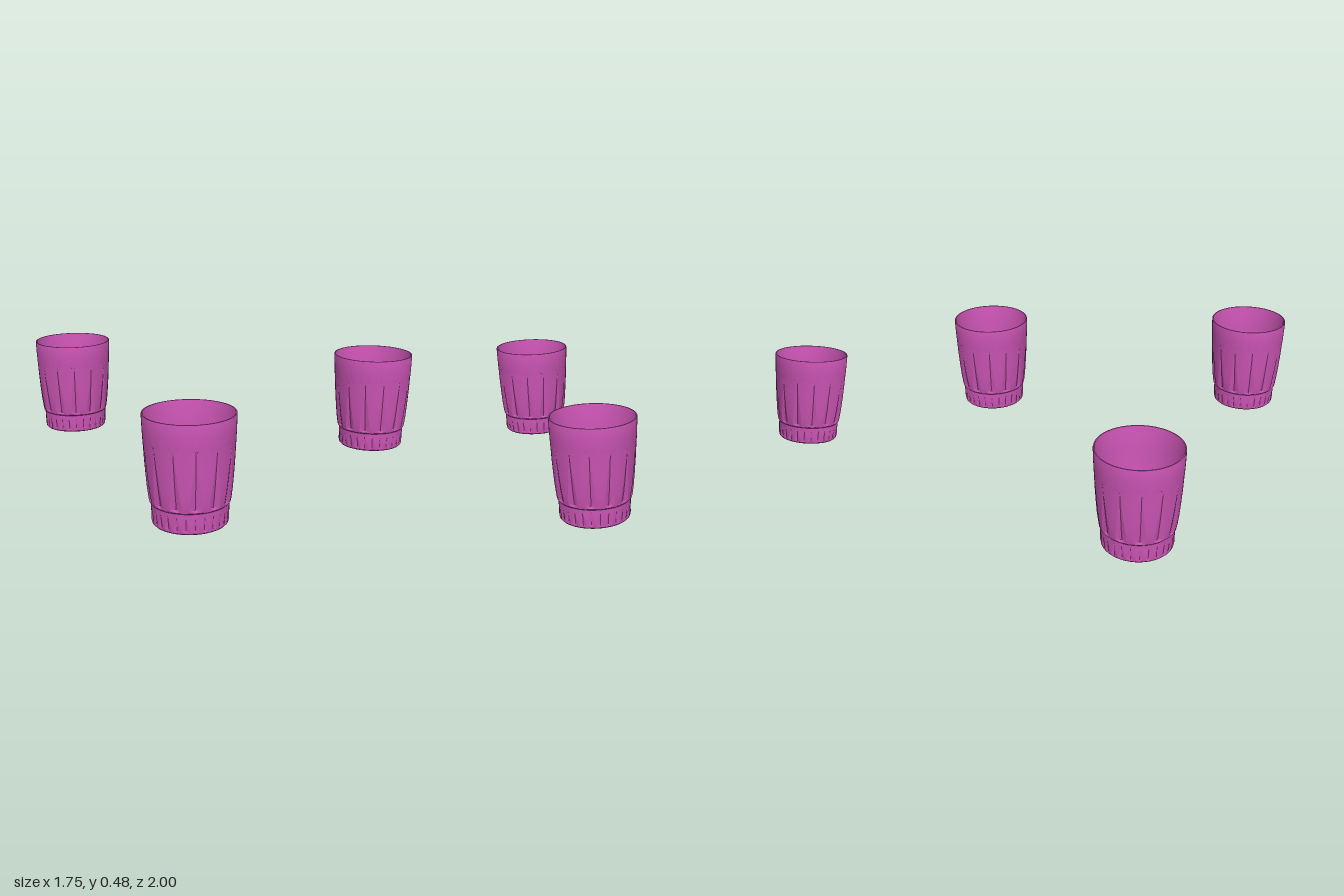
import * as THREE from 'three';
import { toCreasedNormals } from 'three/addons/utils/BufferGeometryUtils.js';

const COLUMNS = 208; // 13 flutes x 16 columns, 26 teeth x 8 columns

// Tapering V-shaped cuts: widest at y0, closing to a point at y1
const FLUTES = { count: 13, y0: 0.112, y1: 0.365, half: 0.15, depth: 0.011 };
const TEETH = { count: 26, y0: 0.02, y1: 0.08, half: 0.1, depth: 0.006 };

// Outer wall from foot to rim, as [radius, height]
const OUTER = [
  [0, 0], [0.156, 0], [0.162, 0.006], [0.165, 0.02], [0.165, 0.05], [0.166, 0.08],
  [0.166, 0.093], [0.172, 0.099], [0.175, 0.112], [0.181, 0.16], [0.186, 0.22],
  [0.191, 0.29], [0.195, 0.365], [0.1955, 0.37], [0.198, 0.42], [0.2, 0.478], [0.199, 0.482],
];
// Inner wall from rim to floor
const INNER = [
  [0.194, 0.482], [0.193, 0.478], [0.188, 0.365], [0.179, 0.22], [0.165, 0.1],
  [0.158, 0.05], [0.15, 0.035], [0, 0.035],
];

function cupGeometry() {
  const profile = [...OUTER, ...INNER].map(([r, y]) => new THREE.Vector2(r, y));
  const geometry = new THREE.LatheGeometry(profile, COLUMNS);
  const position = geometry.attributes.position;
  const rows = profile.length;

  for (let column = 0; column <= COLUMNS; column++) {
    for (let row = 0; row < rows; row++) {
      let { x: r, y } = profile[row];
      let angle = (column / COLUMNS) * Math.PI * 2;
      const cut = row < OUTER.length && [FLUTES, TEETH].find((c) => y >= c.y0 && y <= c.y1);
      if (cut) {
        // Slide the columns so that half of them follow the cut's slanted edges
        const sector = (Math.PI * 2) / cut.count;
        const index = Math.round(angle / sector);
        const u = (angle / sector - index) * 2; // -1..1 across the sector
        const open = Math.max(1 - (y - cut.y0) / (cut.y1 - cut.y0), 0.02);
        const w = cut.half * open;
        const a = Math.abs(u);
        const offset = a < 0.5 ? a * 2 * w : w + (a - 0.5) * 2 * (sector / 2 - w);
        angle = index * sector + Math.sign(u) * offset;
        r -= cut.depth * open * Math.max(0, 1 - a * 2);
      }
      position.setXYZ(column * rows + row, r * Math.cos(angle), y, -r * Math.sin(angle));
    }
  }
  return toCreasedNormals(geometry, 0.3);
}

export function createModel() {
  const model = new THREE.Group();
  model.name = 'cups';
  const geometry = cupGeometry();
  const material = new THREE.MeshStandardMaterial({ color: 0xcc55b5 });

  // Three identical cups standing apart
  const places = { backCup: [-0.545, -0.8], leftCup: [0.672, 0.315], frontCup: [-0.675, 0.8] };
  for (const [name, [x, z]] of Object.entries(places)) {
    const cup = new THREE.Mesh(geometry, material);
    cup.name = name;
    cup.position.set(x, 0, z);
    model.add(cup);
  }
  return model;
}
